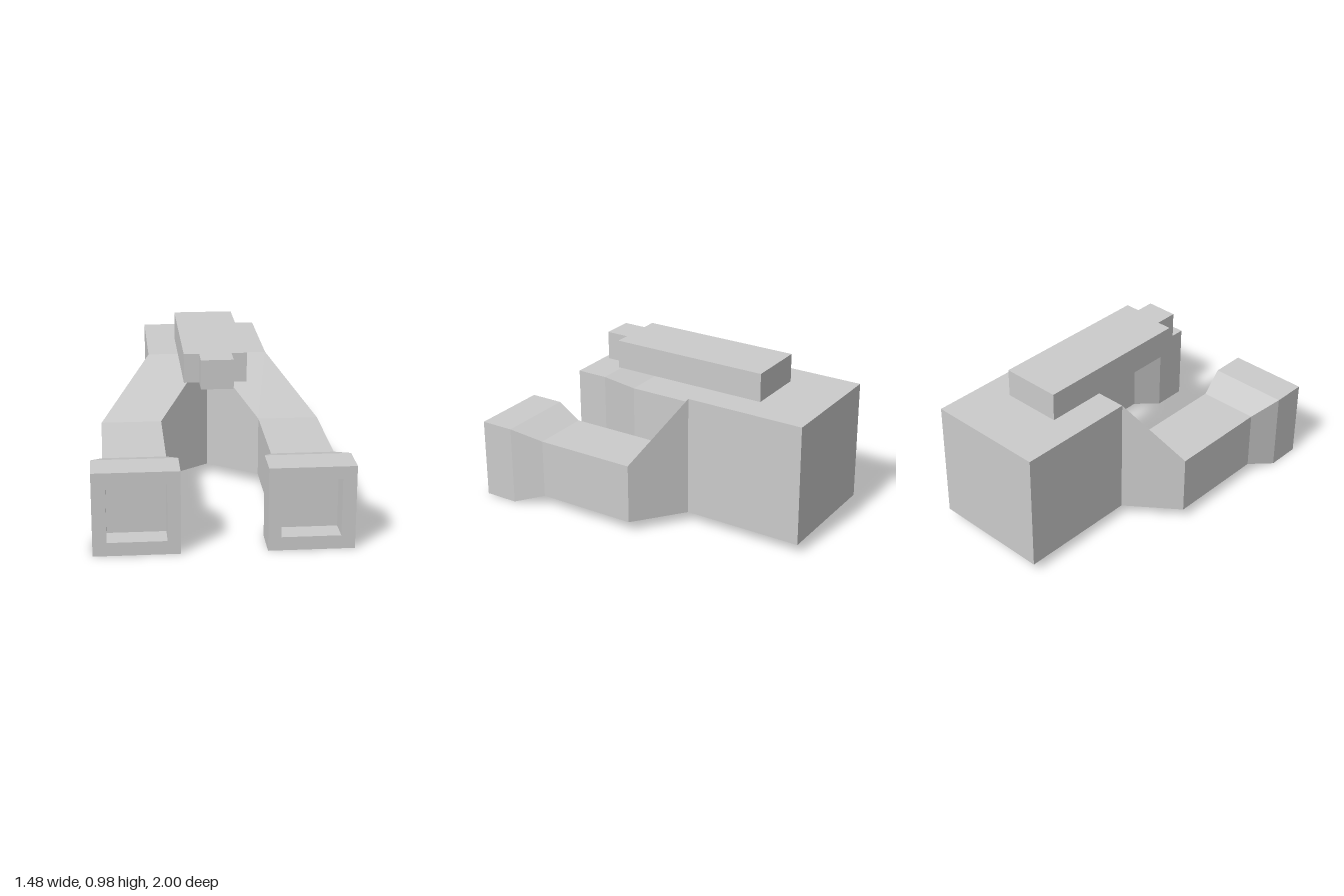
import * as THREE from 'three';

const material = new THREE.MeshStandardMaterial({ color: 0xcccccc, flatShading: true });

function mesh(name, geometry) {
  const m = new THREE.Mesh(geometry, material);
  m.name = name;
  return m;
}

// Box given by its min and max corners
function box(name, [x0, y0, z0], [x1, y1, z1]) {
  const g = new THREE.BoxGeometry(x1 - x0, y1 - y0, z1 - z0);
  g.translate((x0 + x1) / 2, (y0 + y1) / 2, (z0 + z1) / 2);
  return mesh(name, g);
}

// Skin over rectangular sections [x0, x1, y0, y1, z]; optionally closes the last one facing +z
function loft(name, sections, capEnd = false) {
  const rings = sections.map(([x0, x1, y0, y1, z]) =>
    [[x0, y0, z], [x1, y0, z], [x1, y1, z], [x0, y1, z]]);
  const points = [];
  const quad = (a, b, c, d) => points.push(...a, ...b, ...c, ...a, ...c, ...d);
  for (let s = 0; s < rings.length - 1; s++) {
    for (let i = 0; i < 4; i++) {
      const j = (i + 1) % 4;
      quad(rings[s][i], rings[s][j], rings[s + 1][j], rings[s + 1][i]);
    }
  }
  if (capEnd) quad(...rings[rings.length - 1]);
  const g = new THREE.BufferGeometry();
  g.setAttribute('position', new THREE.Float32BufferAttribute(points, 3));
  g.computeVertexNormals();
  return mesh(name, g);
}

// One forked arm: shoulder, barrel, flare and hollow muzzle
function createArm(side) {
  const arm = new THREE.Group();
  arm.name = side > 0 ? 'leftArm' : 'rightArm';
  const mirror = (sections) => sections.map(([x0, x1, ...rest]) =>
    side > 0 ? [x0, x1, ...rest] : [-x1, -x0, ...rest]);

  const root = [0, 0.37, 0.06, 0.805, -0.255];
  const barrelBack = [0.305, 0.675, 0.065, 0.435, -0.03];
  const barrelFront = [0.305, 0.675, 0.065, 0.435, 0.6];
  const muzzleBack = [0.245, 0.74, 0, 0.495, 0.79];
  const muzzleFront = [0.245, 0.74, 0, 0.495, 1];
  const recessFront = [0.32, 0.66, 0.08, 0.42, 1];
  const recessBack = [0.32, 0.66, 0.08, 0.42, 0.86];

  arm.add(
    loft('shoulder', mirror([root, barrelBack])),
    loft('barrel', mirror([barrelBack, barrelFront])),
    loft('flare', mirror([barrelFront, muzzleBack])),
    loft('muzzle', mirror([muzzleBack, muzzleFront, recessFront, recessBack]), true)
  );
  return arm;
}

export function createModel() {
  const model = new THREE.Group();
  model.name = 'twinBarrelBlock';

  // Rear block
  model.add(box('body', [-0.37, 0.06, -1], [0.37, 0.805, -0.255]));

  // Mirrored arms
  for (const side of [1, -1]) model.add(createArm(side));

  // Top bar with stepped nose, extruded from its plan outline
  const plan = new THREE.Shape([
    [-0.185, 0.63], [-0.185, -0.365], [-0.095, -0.365], [-0.095, -0.505],
    [0.095, -0.505], [0.095, -0.365], [0.185, -0.365], [0.185, 0.63]
  ].map(([x, y]) => new THREE.Vector2(x, y)));
  const bar = new THREE.ExtrudeGeometry(plan, { depth: 0.175, bevelEnabled: false });
  bar.rotateX(-Math.PI / 2).translate(0, 0.805, 0);
  model.add(mesh('topBar', bar));

  return model;
}
